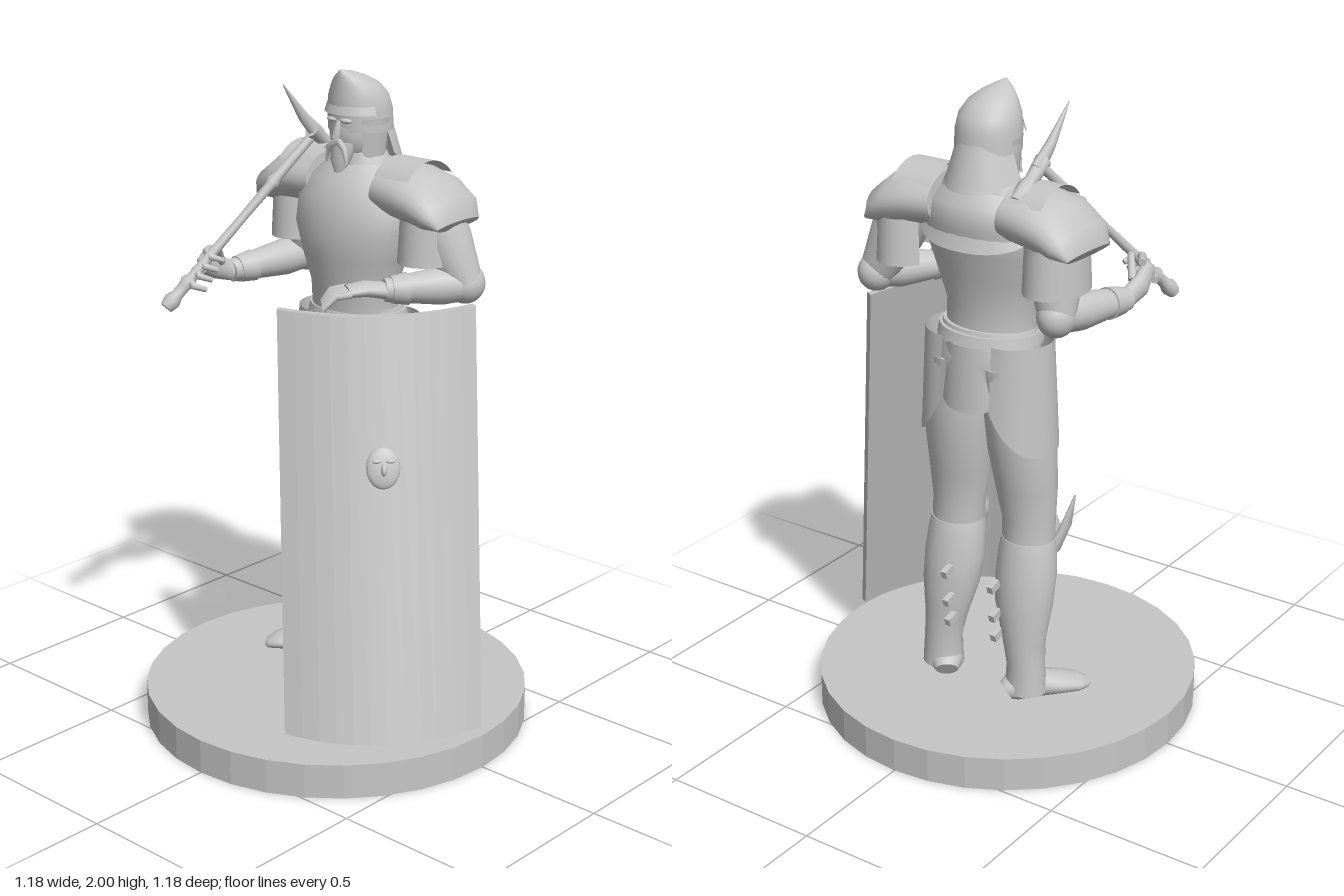
import * as THREE from 'three';

const steel = new THREE.MeshStandardMaterial({ color: 0xc6c6c6, side: THREE.DoubleSide });
steel.name = 'grey';
const V = (x, y, z) => new THREE.Vector3(x, y, z);

// Closed skin over elliptical rings [x, y, z, ru, rv]; level keeps every ring horizontal.
// Upright lofts: ru is along x, rv along z. Lying lofts: ru is the height, rv the width.
function loft(rings, level = false, n = 20) {
  const p = rings.map(r => V(r[0], r[1], r[2]));
  const dir = p[p.length - 1].clone().sub(p[0]).normalize();
  const ref = Math.abs(dir.y) > 0.7 || level ? V(1, 0, 0) : V(0, 1, 0);
  const pos = [], idx = [];
  const addRing = i => {
    const t = level ? V(0, Math.sign(dir.y), 0)
      : p[Math.min(i + 1, p.length - 1)].clone().sub(p[Math.max(i - 1, 0)]).normalize();
    const u = ref.clone().addScaledVector(t, -ref.dot(t)).normalize();
    const v = t.clone().cross(u);
    for (let j = 0; j < n; j++) {
      const a = j / n * Math.PI * 2;
      const q = p[i].clone().addScaledVector(u, Math.cos(a) * rings[i][3]).addScaledVector(v, Math.sin(a) * rings[i][4]);
      pos.push(q.x, q.y, q.z);
    }
  };
  rings.forEach((_, i) => addRing(i));
  for (let i = 0; i < rings.length - 1; i++) for (let j = 0; j < n; j++) {
    const k = (j + 1) % n, a = i * n + j, b = i * n + k;
    idx.push(a, b, b + n, a, b + n, a + n);
  }
  for (const i of [0, rings.length - 1]) {
    const s = pos.length / 3;
    addRing(i);
    pos.push(p[i].x, p[i].y, p[i].z);
    for (let j = 0; j < n; j++) {
      const k = (j + 1) % n;
      idx.push(s + n, s + (i ? j : k), s + (i ? k : j));
    }
  }
  const g = new THREE.BufferGeometry();
  g.setAttribute('position', new THREE.Float32BufferAttribute(pos, 3));
  g.setIndex(idx);
  g.computeVertexNormals();
  return g;
}

// Open curved plate round an upright axis, centred on the direction angle (0 = +x, PI/2 = +z)
function plate(rTop, rBottom, h, angle, half, lift) {
  const g = new THREE.CylinderGeometry(rTop, rBottom, h, 20, 8, true, Math.PI / 2 - angle - half, half * 2);
  const a = g.attributes.position, uv = g.attributes.uv;
  for (let i = 0; i < a.count; i++) {
    const e = Math.abs(uv.getX(i) * 2 - 1);
    a.setY(i, a.getY(i) + lift * e ** 3 * (1 - uv.getY(i)));
  }
  g.computeVertexNormals();
  return g;
}

export function createModel() {
  const root = new THREE.Group();
  const add = (name, geo, parent = root, x = 0, y = 0, z = 0) => {
    const m = new THREE.Mesh(geo, steel);
    m.name = name;
    m.position.set(x, y, z);
    parent.add(m);
    return m;
  };
  const group = (name) => { const g = new THREE.Group(); g.name = name; root.add(g); return g; };
  const ball = (name, parent, x, y, z, a, b, c) => {
    const m = add(name, new THREE.SphereGeometry(1, 20, 14), parent, x, y, z);
    m.scale.set(a, b, c);
    return m;
  };
  const mid = -0.03;

  // Round base
  const disc = new THREE.CylinderGeometry(0.592, 0.592, 0.106, 32).toNonIndexed();
  disc.computeVertexNormals();
  add('base', disc, root, 0, 0.053, 0);

  // Torso armour
  const torso = group('torso');
  add('breastplate', loft([[0.12, 1.28, mid, 0.11, 0.145], [0.115, 1.36, mid, 0.11, 0.145], [0.115, 1.45, mid, 0.13, 0.175],
    [0.12, 1.54, mid, 0.145, 0.205], [0.14, 1.62, mid, 0.148, 0.21], [0.15, 1.68, mid, 0.13, 0.17], [0.15, 1.73, mid, 0.085, 0.1]], true, 28), torso);
  add('fauld', loft([[0.13, 1.05, mid, 0.1, 0.13], [0.14, 1.12, mid, 0.125, 0.16], [0.14, 1.22, mid, 0.13, 0.165],
    [0.13, 1.3, mid, 0.11, 0.15]], true, 28), torso);
  add('belt', loft([[0.13, 1.255, mid, 0.135, 0.165], [0.13, 1.29, mid, 0.125, 0.16]], true, 28), torso);
  add('backMantle', plate(0.095, 0.155, 0.18, 0, 1.5, 0.09), torso, 0.14, 1.645, mid).scale.z = 1.35;
  add('loinPlate', plate(0.125, 0.135, 0.2, 0, 0.75, 0.02), torso, 0.145, 1.16, mid);
  add('gorget', loft([[0.15, 1.68, mid, 0.1, 0.12], [0.14, 1.76, -0.035, 0.075, 0.08]], true), torso);

  // Helmeted head, facing -x
  const head = group('head');
  const hz = -0.035;
  ball('face', head, 0.12, 1.82, hz, 0.075, 0.1, 0.075);
  add('helmetDome', loft([[0.145, 1.82, hz, 0.097, 0.096], [0.142, 1.88, hz, 0.098, 0.095], [0.136, 1.92, hz, 0.091, 0.089],
    [0.122, 1.955, hz, 0.073, 0.07], [0.1, 1.978, hz, 0.05, 0.045], [0.08, 1.992, hz, 0.029, 0.02], [0.06, 2, hz, 0.006, 0.005]], true, 28), head);
  add('brim', plate(0.097, 0.105, 0.025, Math.PI, 1.2, 0), head, 0.142, 1.885, hz);
  add('neckGuard', plate(0.098, 0.137, 0.13, 0, 1.45, 0.04), head, 0.144, 1.785, hz).scale.z = 0.86;
  for (const s of [-1, 1]) {
    add('cheekGuard', plate(0.097, 0.085, 0.12, Math.PI - s * 1.3, 0.5, 0.02), head, 0.143, 1.8, hz);
    ball('brow', head, 0.052, 1.855, hz + s * 0.025, 0.012, 0.008, 0.022);
    add('moustache', loft([[0.045, 1.795, hz, 0.01, 0.012], [0.04, 1.775, hz + s * 0.03, 0.01, 0.01], [0.04, 1.73, hz + s * 0.04, 0.003, 0.003]], false, 8), head);
  }
  add('nose', loft([[0.05, 1.855, hz, 0.008, 0.008], [0.035, 1.805, hz, 0.015, 0.014], [0.05, 1.8, hz, 0.008, 0.008]], true, 10), head);
  add('beard', loft([[0.075, 1.79, hz, 0.035, 0.045], [0.06, 1.74, hz, 0.03, 0.035], [0.05, 1.67, hz, 0.004, 0.004]], true, 10), head);

  // Legs with tassets, greaves, knee wings, buckles and shoes turned outward
  for (const s of [1, -1]) {
    const leg = group(s > 0 ? 'shieldLeg' : 'hammerLeg');
    const z = o => mid + s * o;
    add('thigh', loft([[0.145, 1.2, z(0.085), 0.115, 0.085], [0.138, 1.04, z(0.105), 0.108, 0.1], [0.13, 0.92, z(0.113), 0.1, 0.104],
      [0.118, 0.8, z(0.12), 0.088, 0.096], [0.115, 0.7, z(0.127), 0.075, 0.084], [0.12, 0.6, z(0.13), 0.075, 0.082]], true), leg);
    add('greave', loft([[0.12, 0.635, z(0.13), 0.076, 0.084], [0.125, 0.6, z(0.13), 0.082, 0.09], [0.135, 0.52, z(0.132), 0.086, 0.096], [0.15, 0.43, z(0.135), 0.08, 0.092],
      [0.165, 0.31, z(0.145), 0.062, 0.068], [0.17, 0.23, z(0.155), 0.055, 0.06], [0.17, 0.14, z(0.155), 0.06, 0.066]], true), leg);
    ball('kneeCap', leg, 0.075, 0.65, z(0.13), 0.055, 0.075, 0.075);
    add('kneeWing', loft([[0.08, 0.58, z(0.19), 0.035, 0.015], [0.05, 0.66, z(0.215), 0.03, 0.012], [0.03, 0.76, z(0.235), 0.003, 0.003]], true, 8), leg);
    add('tasset', plate(0.115, 0.13, 0.34, s * Math.PI / 2, 1.6, 0.14), leg, 0.135, 1.1, z(0.09));
    for (const [i, y] of [0.33, 0.4, 0.5].entries()) {
      add('buckle', new THREE.BoxGeometry(0.04, 0.025, 0.02), leg, 0.225 + i * 0.008, y, z(0.085)).rotation.z = -0.3;
    }
    const foot = [[-0.055, 0.03, 0.035], [-0.03, 0.045, 0.05], [0.04, 0.045, 0.05], [0.11, 0.034, 0.055], [0.17, 0.025, 0.052], [0.205, 0.016, 0.03], [0.215, 0.006, 0.01]];
    add('shoe', loft(foot.map(([d, h, w]) => [0.17 - 0.8 * d, 0.108 + h, z(0.145) + s * 0.6 * d, h, w])), leg);
  }

  // Pauldrons: barrel-shaped caps with raised flanges
  for (const s of [1, -1]) {
    const g = group(s > 0 ? 'shieldPauldron' : 'hammerPauldron');
    const z = o => mid + s * o;
    add('shoulderCap', loft([[0.155, 1.66, z(0.12), 0.08, 0.12], [0.158, 1.655, z(0.2), 0.082, 0.133], [0.16, 1.64, z(0.265), 0.078, 0.135],
      [0.163, 1.612, z(0.32), 0.06, 0.13], [0.165, 1.582, z(0.355), 0.02, 0.1]], false, 24), g);
    add('flange', plate(0.125, 0.125, 0.13, -Math.PI / 2, 0.9, 0).rotateX(Math.PI / 2), g, 0.155, 1.63, z(0.19));
    add('upperPlate', plate(0.11, 0.118, 0.14, s * Math.PI / 2, 2.6, 0), g, 0.17, 1.53, z(0.255)).scale.z = 0.76;
  }

  // Arms: shoulder, elbow, wrist
  const arms = { shieldArm: [V(0.16, 1.64, 0.21), V(0.2, 1.4, 0.325), V(0, 1.395, 0.19)],
    hammerArm: [V(0.16, 1.64, -0.26), V(0.195, 1.39, -0.305), V(-0.08, 1.37, -0.36)] };
  const ring = (a, b, t, r) => [...a.clone().lerp(b, t).toArray(), r, r];
  for (const [name, [a, b, c]] of Object.entries(arms)) {
    const g = group(name);
    add('upperArm', loft([ring(a, b, 0, 0.085), ring(a, b, 0.5, 0.08), ring(a, b, 1, 0.055)]), g);
    ball('elbowCop', g, b.x + 0.005, b.y, b.z, 0.062, 0.06, 0.055);
    add('forearm', loft([ring(b, c, 0, 0.05), ring(b, c, 0.3, 0.056), ring(b, c, 0.75, 0.042), ring(b, c, 1, 0.034)]), g);
    add('cuff', loft([ring(b, c, 0.72, 0.048), ring(b, c, 0.92, 0.04)]), g);
  }

  // Open hand resting on the shield, and hand closed round the hammer shaft
  const openHand = group('shieldHand');
  add('palm', loft([[0, 1.395, 0.19, 0.025, 0.033], [-0.05, 1.405, 0.16, 0.022, 0.044], [-0.095, 1.4, 0.13, 0.017, 0.042]]), openHand);
  for (let i = 0; i < 4; i++) {
    const o = (i - 1.5) * 0.022;
    add('finger', loft([[-0.09 + o * 0.7, 1.4, 0.13 - o, 0.012, 0.012], [-0.125 + o * 0.8, 1.395, 0.105 - o, 0.011, 0.011], [-0.15 + o, 1.36, 0.085 - o, 0.007, 0.007]], false, 8), openHand);
  }
  add('thumb', loft([[-0.03, 1.395, 0.13, 0.014, 0.014], [-0.065, 1.38, 0.09, 0.008, 0.008]], false, 8), openHand);
  const grip = group('hammerHand');
  add('palm', loft([[-0.08, 1.37, -0.36, 0.03, 0.026], [-0.14, 1.395, -0.37, 0.038, 0.024], [-0.2, 1.42, -0.355, 0.036, 0.02]]), grip);
  for (let i = 0; i < 4; i++) {
    const x = -0.165 - i * 0.024, y = 1.455 - i * 0.025;
    add('finger', loft([[x, y, -0.36, 0.012, 0.012], [x - 0.04, y + 0.005, -0.335, 0.012, 0.012], [x - 0.055, y - 0.005, -0.3, 0.011, 0.011], [x - 0.02, y - 0.02, -0.285, 0.008, 0.008]], false, 8), grip);
  }
  add('thumb', loft([[-0.13, 1.41, -0.35, 0.014, 0.014], [-0.18, 1.47, -0.31, 0.01, 0.01]], false, 8), grip);

  // War hammer carried over the shoulder
  const hammer = group('warHammer');
  const butt = V(-0.35, 1.31, -0.36), top = V(0.13, 1.8, -0.19);
  add('shaft', loft([[0, 0.02], [0.04, 0.026], [0.07, 0.018], [0.12, 0.018], [0.14, 0.024], [0.17, 0.016], [0.5, 0.013], [0.68, 0.015], [0.7, 0.022], [0.73, 0.015], [1, 0.014]]
    .map(([t, r]) => ring(butt, top, t, r)), false, 12), hammer);
  add('beak', loft([[0.13, 1.78, -0.19, 0.026, 0.02], [0.07, 1.84, -0.195, 0.018, 0.014], [-0.008, 1.945, -0.203, 0.002, 0.002]], false, 8), hammer);
  add('hammerFace', loft([[0.1, 1.8, -0.19, 0.026, 0.024], [0.16, 1.755, -0.19, 0.02, 0.02], [0.18, 1.74, -0.19, 0.03, 0.028], [0.225, 1.705, -0.19, 0.03, 0.028]], false, 8), hammer);

  // Tall curved shield leaning toward the body: local x across, y inward, z up its length
  const shield = group('shield');
  const foot = V(-0.22, 0.135, 0.393), axis = V(0.225, 1.2, -0.237);
  const len = axis.length(), up = axis.clone().normalize();
  const across = V(1.06, 0, 0.94).addScaledVector(up, -V(1.06, 0, 0.94).dot(up)).normalize();
  shield.applyMatrix4(new THREE.Matrix4().makeBasis(across, up.clone().cross(across), up).setPosition(foot));
  const W = 0.292, bulge = u => -0.095 * (1 - (u / W) ** 2);
  const arc = [...Array(13)].map((_, i) => -W + i * W / 6);
  const band = new THREE.Shape([...arc.map(u => new THREE.Vector2(u, bulge(u))),
    ...arc.slice().reverse().map(u => new THREE.Vector2(u * 0.98, bulge(u) + 0.025))]);
  // Ends are cut level with the ground
  const level = new THREE.Matrix4().set(1, 0, 0, 0, 0, 1, 0, 0, 0, 0.27, 1, 0, 0, 0, 0, 1);
  add('shieldBoard', new THREE.ExtrudeGeometry(band, { depth: len, bevelEnabled: false }).applyMatrix4(level), shield);
  const boss = group('boss');
  shield.add(boss);
  boss.position.set(0, bulge(0), len * 0.63);
  ball('medallion', boss, 0, 0, 0, 0.05, 0.018, 0.062);
  ball('bossNose', boss, 0, -0.018, -0.005, 0.009, 0.012, 0.018);
  for (const s of [-1, 1]) ball('bossBrow', boss, s * 0.02, -0.016, 0.02, 0.014, 0.006, 0.006);
  const strap = (name, pts) => {
    add(name, new THREE.TubeGeometry(new THREE.CatmullRomCurve3(pts), 20, 0.012, 8), shield);
    for (const q of [pts[0], pts[pts.length - 1]]) ball('strapMount', shield, q.x, q.y, q.z, 0.022, 0.018, 0.028);
  };
  strap('handGrip', [V(0.045, -0.06, 1.07), V(0.04, -0.025, 0.99), V(0.02, -0.015, 0.92), V(0.05, -0.025, 0.85), V(0.06, -0.06, 0.79)]);
  strap('armStrap', [V(0.08, -0.055, 0.69), V(0, -0.01, 0.67), V(-0.08, -0.01, 0.67), V(-0.17, -0.035, 0.67)]);

  return root;
}
